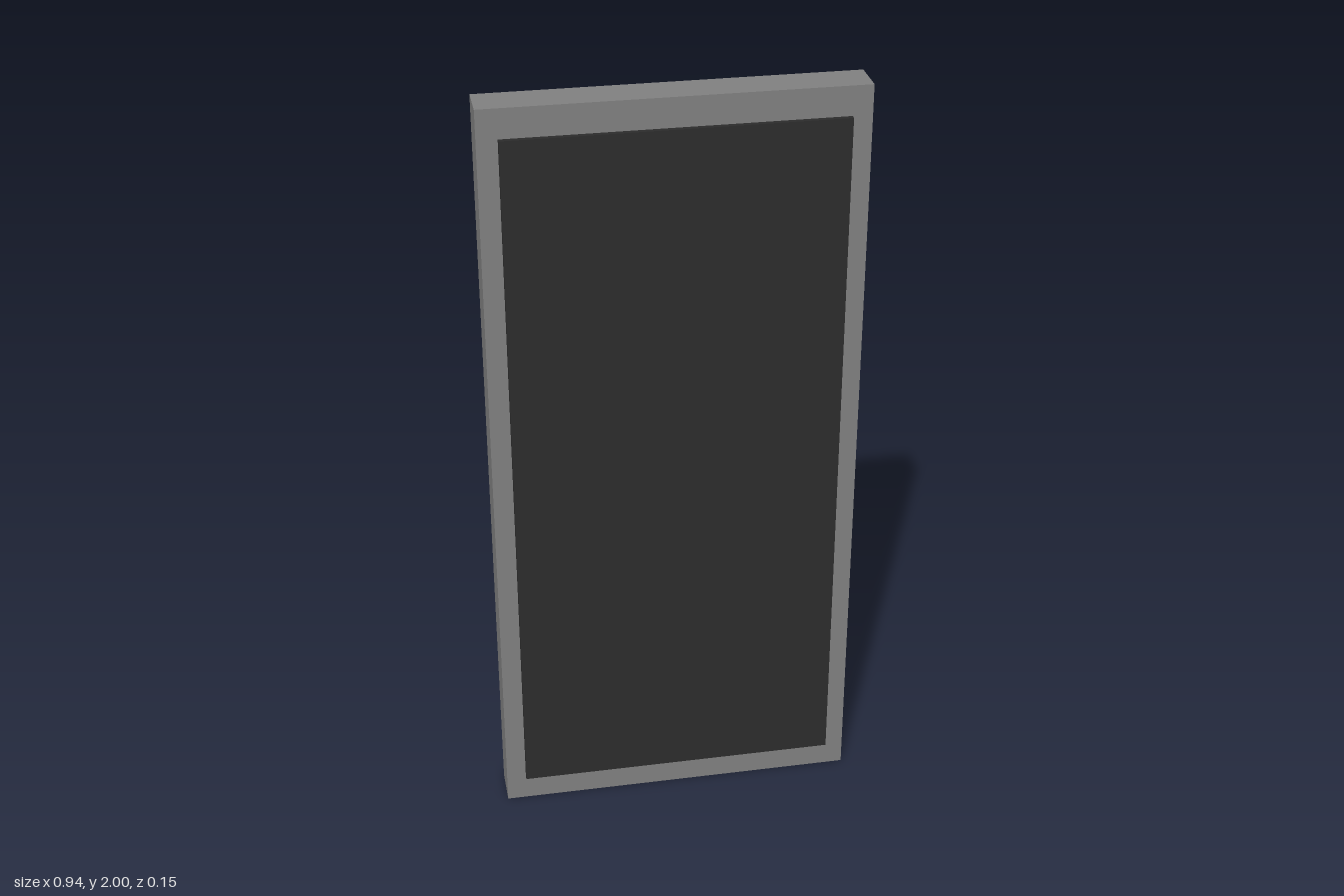
import * as THREE from 'three';

// Box given by its [min, max] extents along each axis
function block(name, color, [x0, x1], [y0, y1], [z0, z1]) {
  const mesh = new THREE.Mesh(
    new THREE.BoxGeometry(x1 - x0, y1 - y0, z1 - z0),
    new THREE.MeshStandardMaterial({ color })
  );
  mesh.position.set((x0 + x1) / 2, (y0 + y1) / 2, (z0 + z1) / 2);
  mesh.name = name;
  return mesh;
}

export function createModel() {
  const phone = new THREE.Group();
  phone.name = 'phone';
  phone.add(
    // Main slab
    block('body', 0x808080, [-0.472, 0.472], [0, 2], [-0.049, 0.055]),
    // Thin display panel, just clear of the front face
    block('screen', 0x2c2c2c, [-0.421, 0.421], [0.074, 1.926], [0.059, 0.072]),
    // Camera bump on the upper back
    block('camera', 0x333339, [-0.323, -0.209], [1.623, 1.738], [-0.074, -0.049])
  );
  return phone;
}
